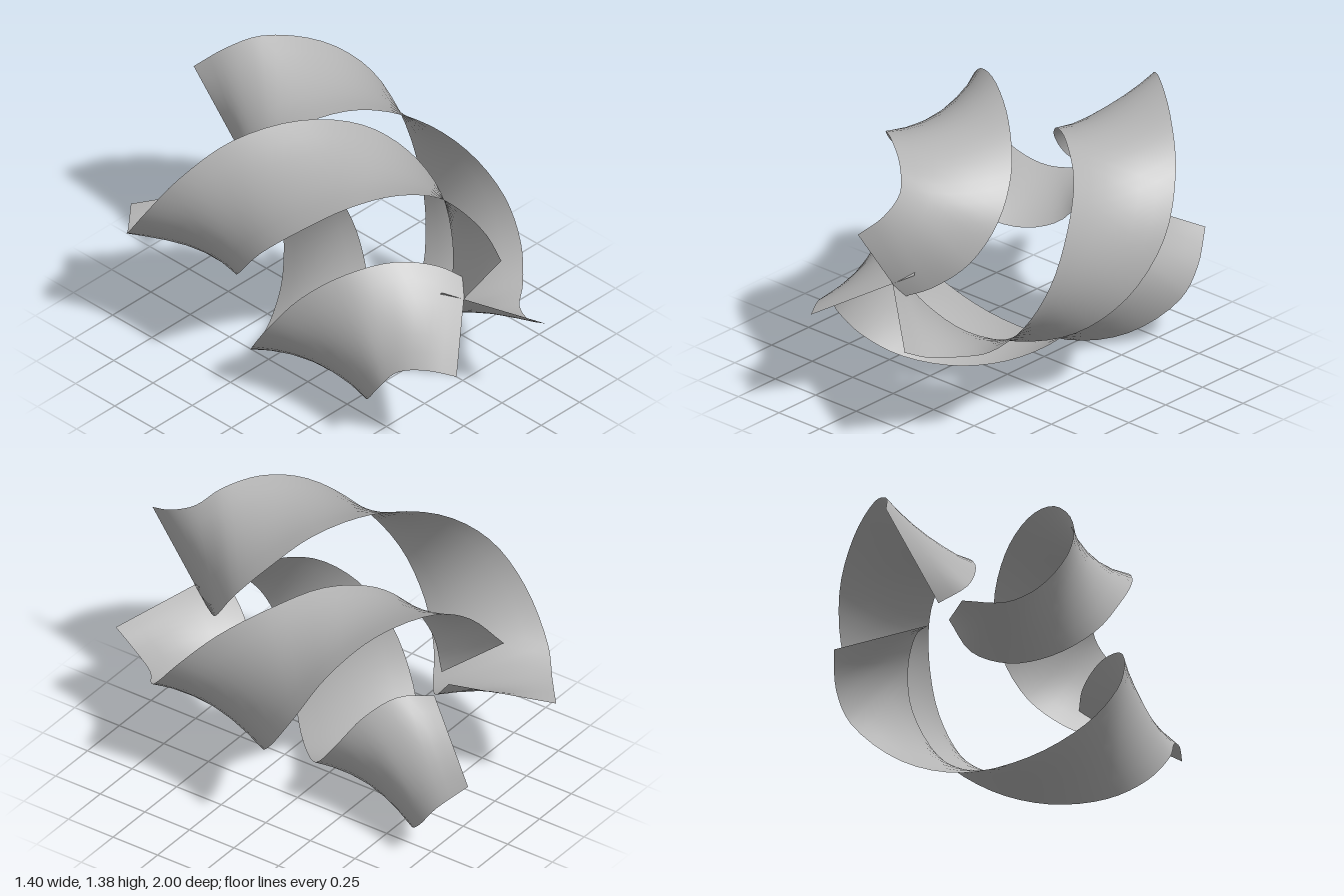
import * as THREE from 'three';

// Cross-sections of one ribbon: [angle, radius, z] of the outer edge, then of the inner edge,
// measured about the coil axis (degrees, units).
const SECTIONS = [
  [-51, 0.33, 0.70, 39, 0.268, 1.0],
  [-36, 0.37, 0.60, 42.5, 0.335, 0.87],
  [-13, 0.434, 0.48, 52, 0.375, 0.74],
  [10, 0.488, 0.35, 68, 0.406, 0.655],
  [32, 0.504, 0.20, 90, 0.41, 0.54],
  [57, 0.503, 0.05, 115, 0.394, 0.40],
  [85, 0.482, -0.12, 146, 0.372, 0.22],
  [118, 0.462, -0.30, 177, 0.37, 0.03],
  [152, 0.466, -0.45, 210, 0.385, -0.14],
  [182, 0.48, -0.60, 240, 0.39, -0.29],
  [210, 0.486, -0.77, 265, 0.38, -0.40],
  [226, 0.45, -0.87, 287, 0.345, -0.51],
  [244, 0.367, -1.0, 307, 0.25, -0.62],
];

const CENTRE = new THREE.Vector2(-0.013, 0.733); // shared axis of the three ribbons
const COIL = new THREE.Vector2(-0.207, 0.167);   // coil axis relative to the shared axis

// Smooth edge curve through the sections; offset 0 is the outer edge, 3 the inner edge
function edgeCurve(offset) {
  return new THREE.CatmullRomCurve3(SECTIONS.map((s) => {
    const a = THREE.MathUtils.degToRad(s[offset]);
    const r = s[offset + 1];
    return new THREE.Vector3(COIL.x + r * Math.cos(a), COIL.y + r * Math.sin(a), s[offset + 2]);
  }));
}

// Ruled surface spanned by straight lines between the two edges
function ribbonGeometry(along = 48, across = 6) {
  const outer = edgeCurve(0);
  const inner = edgeCurve(3);
  const positions = [];
  const indices = [];
  for (let i = 0; i <= along; i++) {
    const a = outer.getPoint(i / along);
    const b = inner.getPoint(i / along);
    for (let j = 0; j <= across; j++) {
      const p = a.clone().lerp(b, j / across);
      positions.push(p.x, p.y, p.z);
      if (i < along && j < across) {
        const k = i * (across + 1) + j;
        const n = k + across + 1;
        indices.push(k, n, k + 1, n, n + 1, k + 1);
      }
    }
  }
  const geometry = new THREE.BufferGeometry();
  geometry.setAttribute('position', new THREE.Float32BufferAttribute(positions, 3));
  geometry.setIndex(indices);
  geometry.computeVertexNormals();
  return geometry;
}

export function createModel() {
  const group = new THREE.Group();
  group.name = 'twistedRibbons';
  const grey = new THREE.MeshStandardMaterial({ color: 0xb3b3b3, side: THREE.DoubleSide });
  grey.name = 'grey';

  // Three equal ribbons, a third of a turn apart
  const geometry = ribbonGeometry();
  for (let i = 0; i < 3; i++) {
    const ribbon = new THREE.Mesh(geometry, grey);
    ribbon.name = `ribbon${i + 1}`;
    ribbon.position.set(CENTRE.x, CENTRE.y, 0);
    ribbon.rotation.z = (i * Math.PI * 2) / 3;
    group.add(ribbon);
  }
  return group;
}
